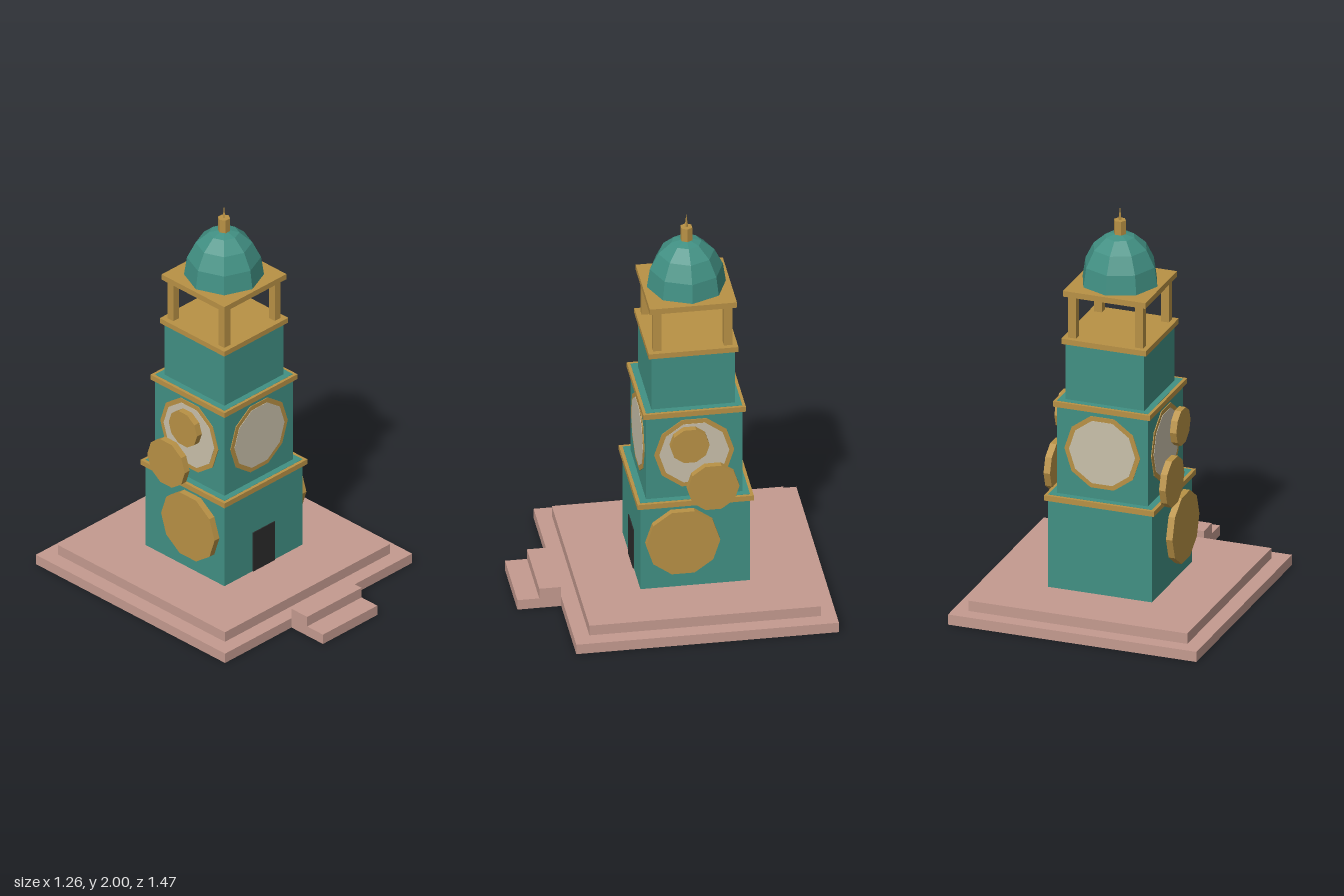
import * as THREE from 'three';

const mat = (name, color, extra = {}) => {
  const m = new THREE.MeshStandardMaterial({ color, flatShading: true, ...extra });
  m.name = name;
  return m;
};

export function createModel() {
  const stone = mat('pinkStone', 0xc49a8f, { side: THREE.DoubleSide });
  const teal = mat('teal', 0x419083);
  const gold = mat('gold', 0xb89145);
  const cream = mat('cream', 0xc9c0aa);
  const dark = mat('doorDark', 0x2b2b2b);

  const model = new THREE.Group();
  const tower = new THREE.Group();
  tower.name = 'tower';
  tower.position.z = -0.105;
  model.add(tower);

  const add = (parent, name, geo, material, x = 0, y = 0, z = 0) => {
    const m = new THREE.Mesh(geo, material);
    m.name = name;
    m.position.set(x, y, z);
    parent.add(m);
    return m;
  };
  // Square block of half-width r between two heights
  const block = (name, r, y0, y1, material) =>
    add(tower, name, new THREE.BoxGeometry(2 * r, y1 - y0, 2 * r), material, 0, (y0 + y1) / 2, 0);
  // Box shell without the listed faces (3 = bottom, 5 = back)
  const shell = (w, h, d, drop) => {
    const g = new THREE.BoxGeometry(w, h, d);
    g.setIndex(Array.from(g.index.array).filter((_, i) => !drop.includes(Math.floor(i / 6))));
    g.clearGroups();
    return g;
  };
  // Ten-sided disc facing sideways along x
  const disc = (r, t) => new THREE.CylinderGeometry(r, r, t, 10).rotateZ(-Math.PI / 2);

  // Plinth, hollow underneath
  add(tower, 'lowerPlinth', shell(1.26, 0.052, 1.26, [3]), stone, 0, 0.026, 0);
  add(tower, 'upperPlinth', shell(1.11, 0.053, 1.11, [3]), stone, 0, 0.0785, 0);

  // Front steps, hollow underneath
  add(model, 'lowerStep', shell(0.366, 0.052, 0.105, [3, 5]), stone, 0, 0.026, 0.6825);
  add(model, 'upperStep', shell(0.366, 0.105, 0.105, [3]), stone, 0, 0.0525, 0.5775);

  // Tiers with cornices; the lower two tier tops show inside their cornices
  block('lowerTier', 0.263, 0.105, 0.581, teal);
  block('lowerCornice', 0.279, 0.553, 0.58, gold);
  block('clockTier', 0.231, 0.58, 1.056, teal);
  block('clockCornice', 0.246, 1.028, 1.055, gold);
  block('upperTier', 0.2, 1.055, 1.36, teal);
  block('upperCornice', 0.215, 1.343, 1.37, gold);

  // Open belfry
  for (const x of [-0.17, 0.17])
    for (const z of [-0.17, 0.17])
      add(tower, 'belfryPost', new THREE.BoxGeometry(0.04, 0.22, 0.04), gold, x, 1.477, z);
  block('belfryRoof', 0.209, 1.585, 1.614, gold);

  // Dome and finial
  const dome = new THREE.SphereGeometry(0.19, 8, 4, 0, Math.PI * 2, 0, Math.PI / 2).scale(1, 1.34, 1);
  add(tower, 'dome', dome, teal, 0, 1.612, 0);
  add(tower, 'finialBase', new THREE.CylinderGeometry(0.03, 0.03, 0.07, 6).rotateY(Math.PI / 2), gold, 0, 1.895, 0);
  add(tower, 'finialSpike', new THREE.ConeGeometry(0.008, 0.07, 4), gold, 0, 1.965, 0);

  // Clock on each side
  for (let i = 0; i < 4; i++) {
    const clock = new THREE.Group();
    clock.name = 'clock';
    clock.rotation.y = i * Math.PI / 2;
    add(clock, 'clockRim', disc(0.192, 0.006), gold, 0.232, 0.82, 0);
    add(clock, 'clockFace', disc(0.168, 0.006), cream, 0.234, 0.82, 0);
    tower.add(clock);
  }

  // Door
  add(tower, 'door', new THREE.BoxGeometry(0.146, 0.215, 0.008), dark, 0, 0.2125, 0.264);

  // Decorative discs on both flanks: radius, y, z
  for (const side of [-1, 1])
    for (const [r, y, z] of [[0.178, 0.37, -0.04], [0.125, 0.66, -0.185], [0.094, 0.9, -0.073]])
      add(model, 'sideDisc', disc(r, 0.033), gold, side * 0.293, y, z);

  return model;
}
